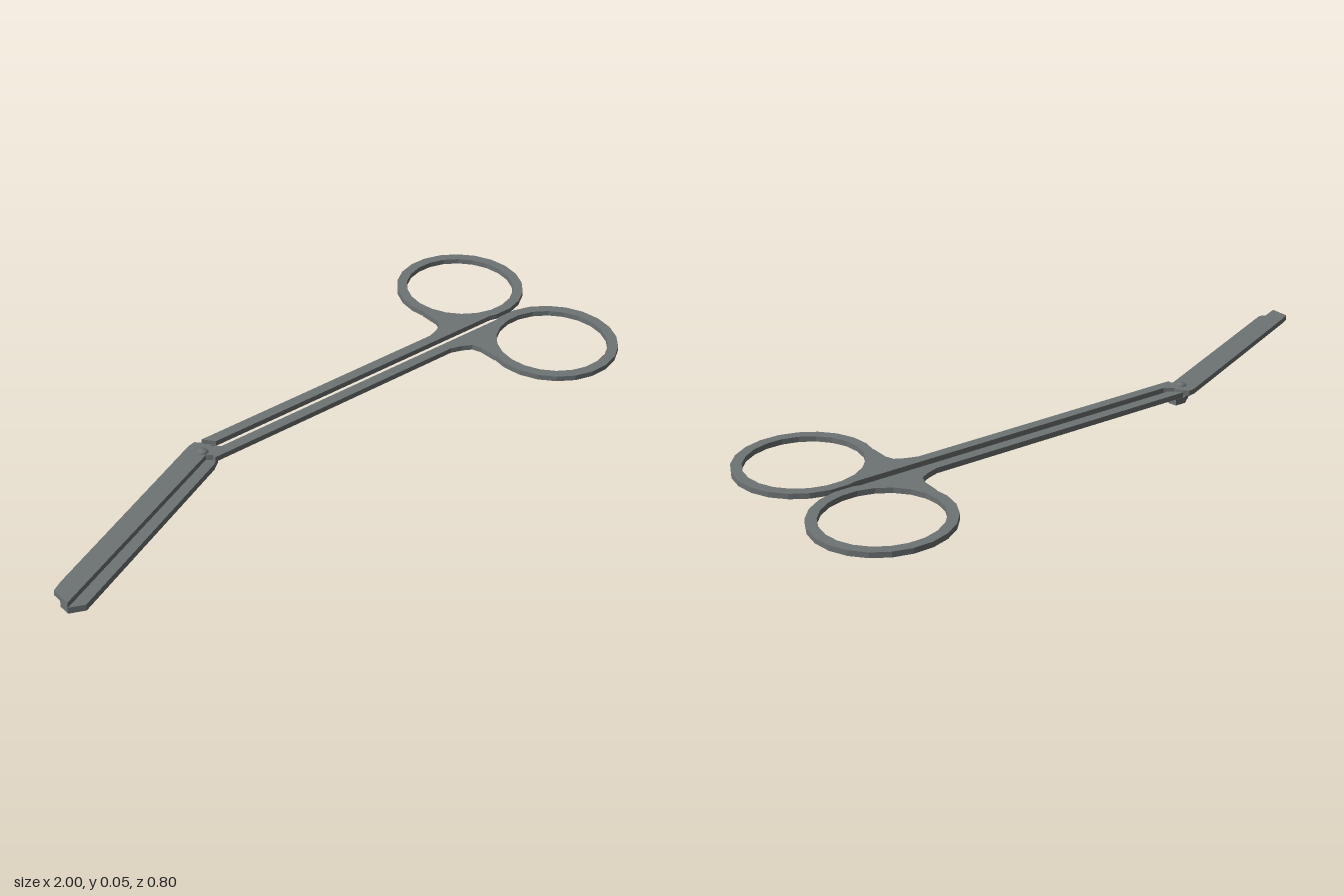
import * as THREE from 'three';

const steel = new THREE.MeshStandardMaterial({ color: 0x6e7373 });
steel.name = 'steel';

// Heights of the two stacked layers
const UPPER = [0.029, 0.045];
const LOWER = [0.009, 0.028];

// Flat plate from a shape drawn in (x, -z)
function plate(name, shape, [y0, y1]) {
  const geo = new THREE.ExtrudeGeometry(shape, { depth: y1 - y0, bevelEnabled: false, curveSegments: 11 });
  geo.rotateX(-Math.PI / 2);
  geo.translate(0, y0, 0);
  const mesh = new THREE.Mesh(geo, steel);
  mesh.name = name;
  return mesh;
}

// Outline from [x, z] points
const outline = (pts) => new THREE.Shape(pts.map(([x, z]) => new THREE.Vector2(x, -z)));

// Finger ring, webbed shank and bar; side is -1 for back, +1 for front
function handle(name, side, startOuter, startInner) {
  const group = new THREE.Group();
  group.name = name;

  const ring = new THREE.Shape();
  ring.absarc(0.802, -side * 0.204, 0.198, 0, Math.PI * 2, false);
  const hole = new THREE.Path();
  hole.absarc(0.802, -side * 0.204, 0.167, 0, Math.PI * 2, true);
  ring.holes.push(hole);
  group.add(plate('fingerRing', ring, UPPER));

  const shank = [
    [startInner, 0.014], [startOuter, 0.046], [0.535, 0.046], [0.57, 0.058], [0.597, 0.073],
    [0.607, 0.1], [0.608, 0.16], [0.63, 0.135], [0.667, 0.075], [0.73, 0.035], [0.8, 0.014],
  ].map(([x, z]) => [x, side * z]);
  group.add(plate('shank', outline(shank), UPPER));
  return group;
}

export function createModel() {
  const model = new THREE.Group();
  model.name = 'angledScissors';

  model.add(handle('backHandle', -1, -0.325, -0.298));
  model.add(handle('frontHandle', 1, -0.345, -0.345));

  // Upper blade crosses the pivot into the front handle
  model.add(plate('upperBlade', outline([
    [-0.968, 0.227], [-1, 0.245], [-1, 0.307], [-0.36, 0.021], [-0.335, 0.042],
    [-0.3, 0.042], [-0.3, 0.014], [-0.325, -0.005], [-0.335, -0.035], [-0.348, -0.048], [-0.37, -0.044],
  ]), UPPER));

  // Lower blade crosses beneath it to carry the back handle
  model.add(plate('lowerBlade', outline([
    [-1, 0.272], [-1, 0.306], [-0.957, 0.325], [-0.353, 0.051], [-0.325, 0.03],
    [-0.295, -0.018], [-0.3, -0.045], [-0.335, -0.045], [-0.385, -0.006],
  ]), LOWER));

  // Small joint between the lower blade and the back shank
  const joint = new THREE.Mesh(new THREE.BoxGeometry(0.02, 0.006, 0.024), steel);
  joint.name = 'shankJoint';
  joint.position.set(-0.308, 0.0285, -0.032);
  model.add(joint);

  // Domed rivet through both layers
  const profile = [[0, 0], [0.011, 0.002], [0.018, 0.009], [0.018, 0.044], [0.011, 0.051], [0, 0.053]];
  const rivet = new THREE.Mesh(
    new THREE.LatheGeometry(profile.map(([r, y]) => new THREE.Vector2(r, y)), 14), steel);
  rivet.name = 'pivotRivet';
  rivet.position.set(-0.357, 0, 0.002);
  model.add(rivet);

  return model;
}
